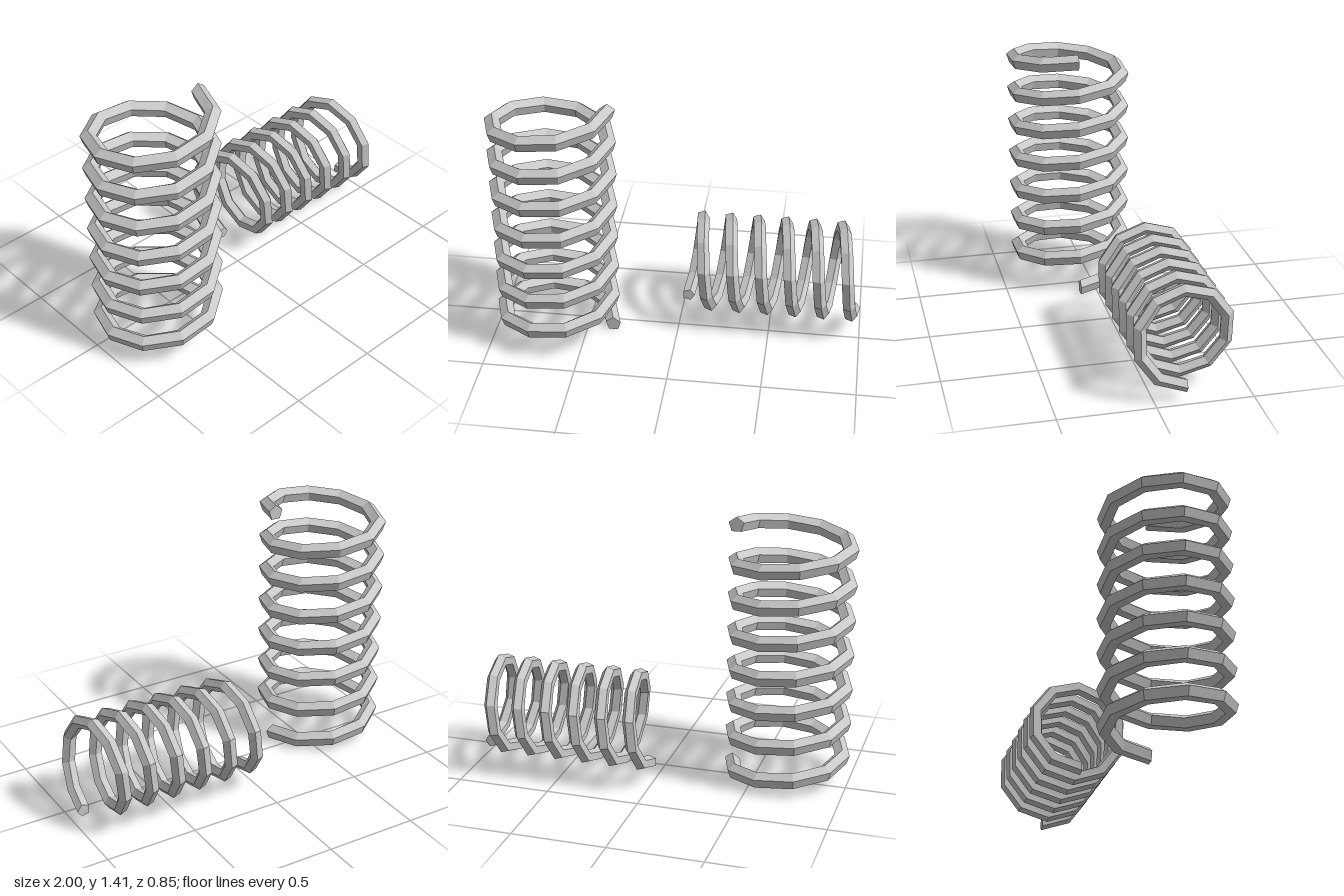
import * as THREE from 'three';

const SIDES = 5;      // wire cross-section
const STEPS = 10;     // segments per turn

// Low-poly coil rising along +y: pentagon rings swept along a helix, capped at both ends
function coilGeometry(radius, wire, pitch, turns) {
  const positions = [];
  const index = [];
  const rings = turns * STEPS;
  for (let i = 0; i <= rings; i++) {
    const turn = (i / STEPS) * Math.PI * 2;
    for (let k = 0; k < SIDES; k++) {
      const a = Math.PI / 10 + (k / SIDES) * Math.PI * 2;
      const r = radius + wire * Math.cos(a);
      positions.push(
        r * Math.cos(turn),
        (i / STEPS) * pitch + wire * Math.sin(a),
        -r * Math.sin(turn)
      );
    }
  }
  for (let i = 0; i < rings; i++) {
    for (let k = 0; k < SIDES; k++) {
      const a = i * SIDES + k;
      const b = i * SIDES + ((k + 1) % SIDES);
      index.push(a, a + SIDES, b, b, a + SIDES, b + SIDES);
    }
  }
  // end caps
  const last = rings * SIDES;
  for (let k = 1; k < SIDES - 1; k++) {
    index.push(0, k, k + 1);
    index.push(last, last + k + 1, last + k);
  }
  const indexed = new THREE.BufferGeometry();
  indexed.setAttribute('position', new THREE.Float32BufferAttribute(positions, 3));
  indexed.setIndex(index);
  const geometry = indexed.toNonIndexed();
  geometry.computeVertexNormals();
  return geometry;
}

export function createModel() {
  const model = new THREE.Group();
  model.name = 'coilSprings';

  const steel = new THREE.MeshStandardMaterial({ color: 0xc8c8c8, flatShading: true });
  steel.name = 'lightSteel';

  // Tall spring standing upright
  const standing = new THREE.Mesh(coilGeometry(0.302, 0.043, 0.1903, 7), steel);
  standing.name = 'standingSpring';
  standing.position.set(-0.657, 0.035, 0.098);
  model.add(standing);

  // Smaller spring lying along x
  const lying = new THREE.Mesh(coilGeometry(0.242, 0.036, 0.155, 6), steel);
  lying.name = 'lyingSpring';
  lying.rotation.z = -Math.PI / 2;
  lying.position.set(0.032, 0.33, -0.16);
  model.add(lying);

  return model;
}
